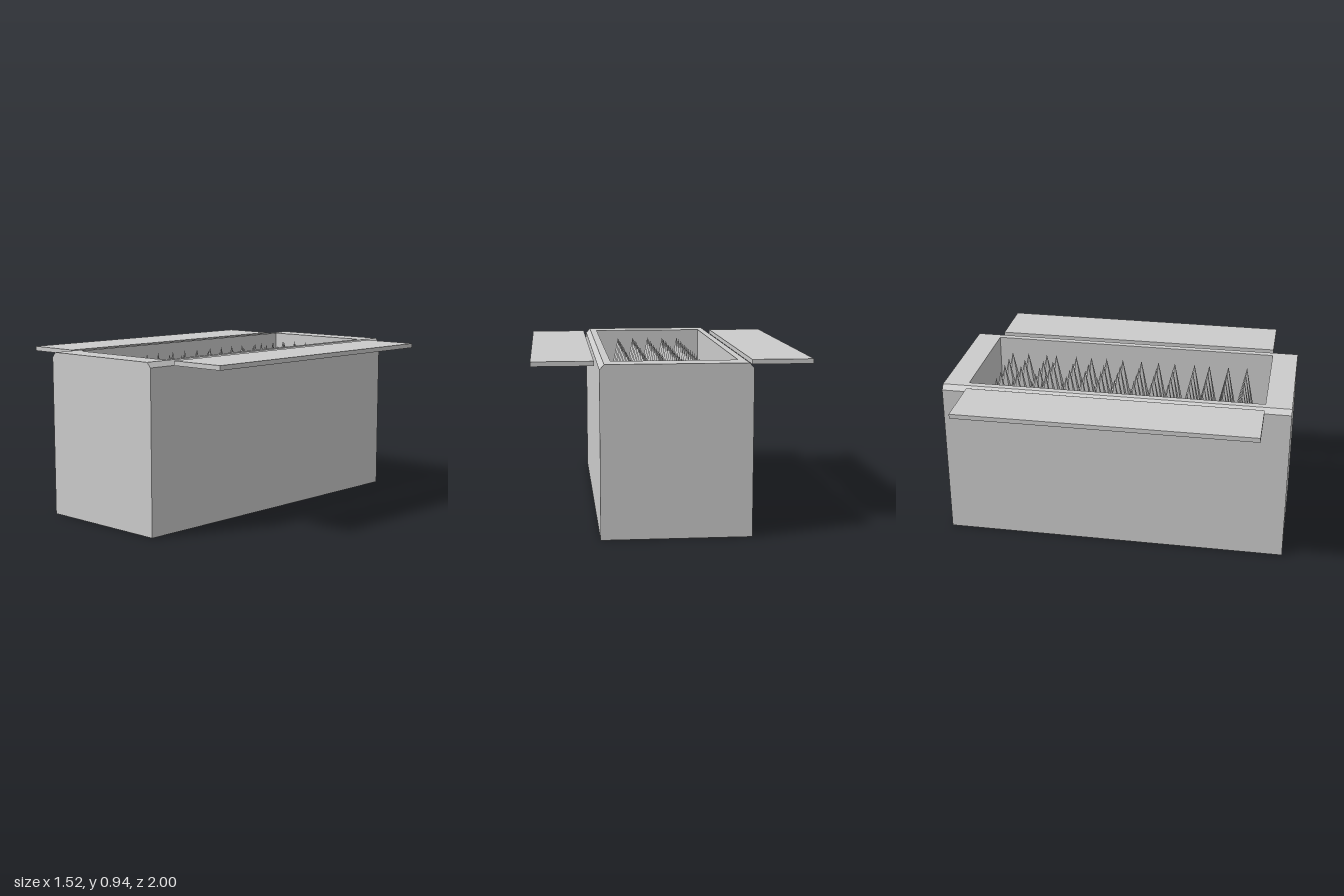
import * as THREE from 'three';

const grey = new THREE.MeshStandardMaterial({ color: 0xcccccc });
const flatGrey = new THREE.MeshStandardMaterial({ color: 0xcccccc, flatShading: true });

// Skin over stacked rectangles [x0, x1, z0, z1, y], capped at both ends
function loftRectangles(rects) {
  const rings = rects.map(([x0, x1, z0, z1, y]) => [[x0, y, z0], [x0, y, z1], [x1, y, z1], [x1, y, z0]]);
  const pos = [];
  const quad = (a, b, c, d) => pos.push(...a, ...b, ...c, ...a, ...c, ...d);
  for (let r = 0; r < rings.length - 1; r++) {
    for (let i = 0; i < 4; i++) {
      const j = (i + 1) % 4;
      quad(rings[r][i], rings[r][j], rings[r + 1][j], rings[r + 1][i]);
    }
  }
  const [a, b, c, d] = rings[0];
  quad(d, c, b, a);
  quad(...rings[rings.length - 1]);
  const geo = new THREE.BufferGeometry();
  geo.setAttribute('position', new THREE.Float32BufferAttribute(pos, 3));
  geo.computeVertexNormals();
  return geo;
}

export function createModel() {
  const group = new THREE.Group();
  const top = 0.94, floor = 0.45;

  // Block with chamfered long edges and an open pit
  const block = new THREE.Mesh(loftRectangles([
    [-0.415, 0.4, -1, 1, 0],
    [-0.415, 0.4, -1, 1, 0.912],
    [-0.39, 0.375, -1, 1, top],
    [-0.35, 0.335, -0.855, 0.85, top],
    [-0.35, 0.335, -0.855, 0.85, floor],
  ]), flatGrey);
  block.name = 'pitBlock';
  group.add(block);

  // Two trapdoor panels lying open beside the pit
  const panelGeo = new THREE.BoxGeometry(0.337, 0.026, 1.7);
  for (const [name, x] of [['leftTrapdoor', 0.59], ['rightTrapdoor', -0.597]]) {
    const panel = new THREE.Mesh(panelGeo, grey);
    panel.name = name;
    panel.position.set(x, 0.927, 0);
    group.add(panel);
  }

  // Rows of five-sided spikes standing on the pit floor
  const spikes = new THREE.Group();
  spikes.name = 'spikes';
  const height = 0.905 - floor;
  const spikeGeo = new THREE.ConeGeometry(0.1, height, 5, 1, true);
  spikeGeo.rotateY(Math.PI);
  spikeGeo.translate(0, floor + height / 2, 0);
  const rows = [-0.74, -0.64, -0.525, -0.465, -0.34, -0.245, -0.15, -0.05,
    0.065, 0.17, 0.27, 0.39, 0.48, 0.595, 0.707];
  for (const z of rows) {
    for (let i = 0; i < 5; i++) {
      const spike = new THREE.Mesh(spikeGeo, flatGrey);
      spike.name = 'spike';
      spike.position.set(0.005 + (i - 2) * 0.0975, 0, z);
      spikes.add(spike);
    }
  }
  group.add(spikes);
  return group;
}
